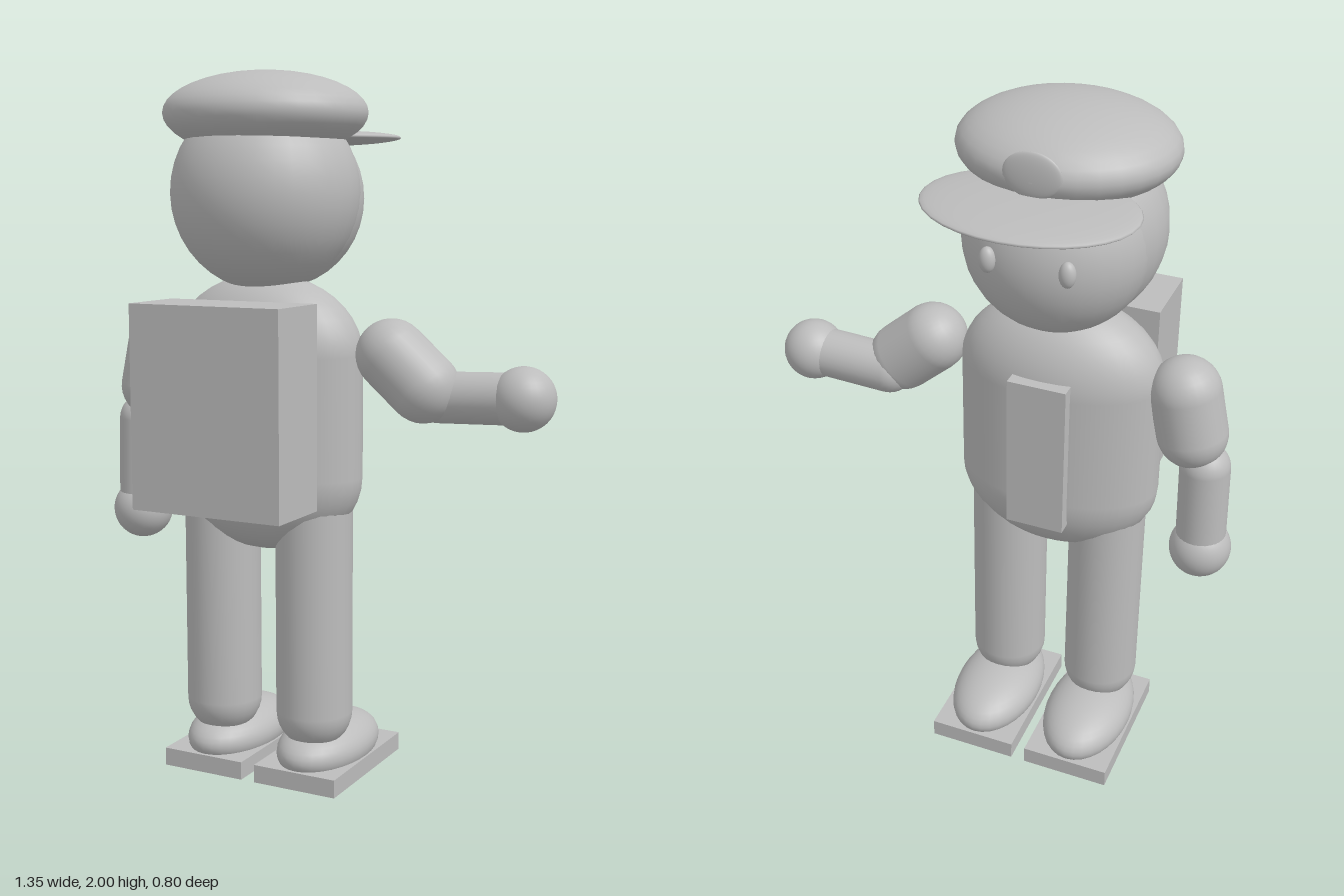
import * as THREE from 'three';

const CX = -0.163; // body axis in x
const CZ = 0.058;  // body axis in z

export function createModel() {
  const model = new THREE.Group();
  model.name = 'figure';
  const grey = new THREE.MeshStandardMaterial({ color: 0xbcbcbc });
  grey.name = 'grey';

  const add = (name, geometry, x, y, z, parent = model) => {
    const mesh = new THREE.Mesh(geometry, grey);
    mesh.name = name;
    mesh.position.set(x, y, z);
    parent.add(mesh);
    return mesh;
  };
  const ellipsoid = (name, pos, radii, parent) =>
    add(name, new THREE.SphereGeometry(1, 32, 20).scale(...radii), ...pos, parent);
  const box = (name, pos, size, parent) =>
    add(name, new THREE.BoxGeometry(...size), ...pos, parent);

  // Capsule whose end spheres sit on two points
  const limb = (name, from, to, radius, parent) => {
    const a = new THREE.Vector3(...from), b = new THREE.Vector3(...to);
    const mid = a.clone().add(b).multiplyScalar(0.5);
    const mesh = add(name, new THREE.CapsuleGeometry(radius, a.distanceTo(b), 8, 28),
      mid.x, mid.y, mid.z, parent);
    mesh.quaternion.setFromUnitVectors(new THREE.Vector3(0, 1, 0), b.sub(a).normalize());
    return mesh;
  };

  // Torso: a wide capsule, flattened front to back
  const torso = new THREE.CapsuleGeometry(0.22, 0.34, 10, 36);
  torso.scale(0.289 / 0.22, 1, 0.172 / 0.22);
  add('torso', torso, CX, 1.06, CZ);
  box('chestPanel', [CX, 1.052, -0.112], [0.165, 0.455, 0.056]);
  box('backpack', [CX, 1.1, 0.295], [0.455, 0.56, 0.21]);

  // Head, facing -z
  const head = new THREE.Group();
  head.name = 'head';
  model.add(head);
  ellipsoid('skull', [CX, 1.67, 0.06], [0.265, 0.27, 0.255], head);
  ellipsoid('face', [CX, 1.655, 0], [0.25, 0.25, 0.23], head);
  for (const side of [-1, 1]) {
    ellipsoid('eye', [CX + side * 0.105, 1.67, -0.215], [0.022, 0.035, 0.02], head);
  }

  // Peaked cap
  const cap = new THREE.Group();
  cap.name = 'cap';
  model.add(cap);
  ellipsoid('capCrown', [CX, 1.885, 0.06], [0.289, 0.115, 0.26], cap);
  ellipsoid('capVisor', [CX, 1.825, -0.2], [0.277, 0.022, 0.203], cap);
  ellipsoid('capBadge', [CX, 1.9, -0.187], [0.077, 0.06, 0.013], cap);

  // Legs, shoes and foot plates
  for (const side of [-1, 1]) {
    const leg = new THREE.Group();
    leg.name = side > 0 ? 'leftLeg' : 'rightLeg';
    model.add(leg);
    const x = CX + side * 0.149;
    limb('legTube', [x, 0.21, CZ], [x, 0.8, CZ], 0.109, leg);
    ellipsoid('shoe', [x, 0.085, -0.03], [0.127, 0.085, 0.214], leg);
    box('footPlate', [x, 0.036, -0.03], [0.256, 0.052, 0.43], leg);
  }

  // Arms: one stretched out, one hanging
  const arms = [
    { name: 'leftArm', shoulder: [0.222, 1.24, 0.056], elbow: [0.316, 1.158, 0.056],
      joint: [0.345, 1.128, 0.02], hand: [0.586, 1.137, 0.02] },
    { name: 'rightArm', shoulder: [-0.513, 1.24, 0.056], elbow: [-0.54, 1.115, 0.056],
      joint: [-0.584, 1.015, 0.054], hand: [-0.59, 0.744, 0.054] },
  ];
  for (const { name, shoulder, elbow, joint, hand } of arms) {
    const arm = new THREE.Group();
    arm.name = name;
    model.add(arm);
    limb('upperArm', shoulder, elbow, 0.098, arm);
    limb('forearm', joint, hand, 0.07, arm);
    ellipsoid('hand', hand, [0.087, 0.087, 0.087], arm);
  }

  return model;
}
